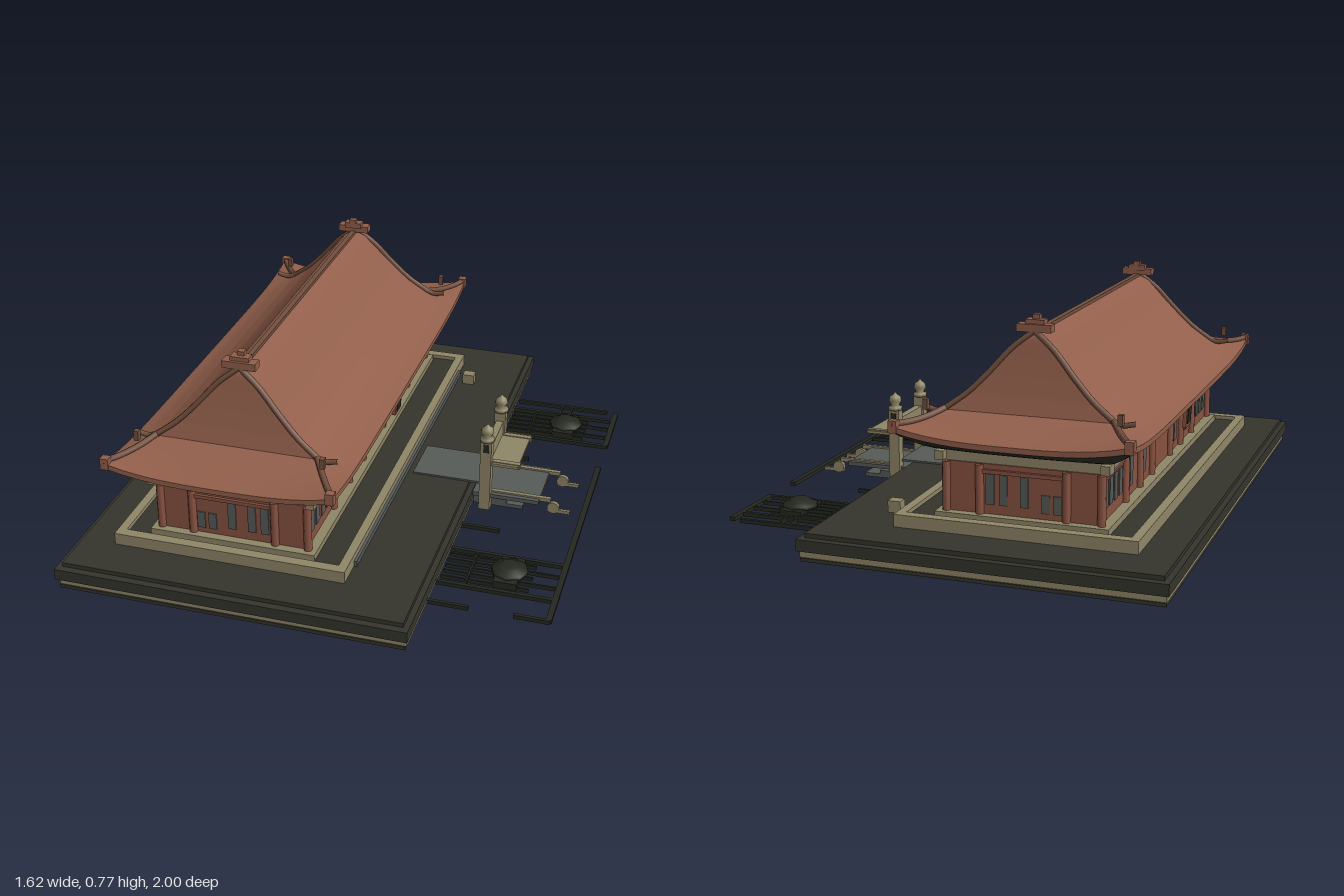
import * as THREE from 'three';

const mat = (name, color, side = THREE.FrontSide) => {
  const m = new THREE.MeshStandardMaterial({ color, side });
  m.name = name;
  return m;
};

// half sizes of the roof at gable foot and at the eaves; CX is the hall's centre line
const CX = -0.27, GX = 0.28, GZ = 0.69, EX = 0.39, EZ = 0.88;
const PROFILE = [[0, 0.715], [0.04, 0.695], [0.09, 0.635], [0.15, 0.57], [0.21, 0.51], [0.28, 0.458], [0.34, 0.425], [0.39, 0.405]];
const roofY = d => {
  let i = 0;
  while (i < PROFILE.length - 2 && d > PROFILE[i + 1][0]) i++;
  const [a, b] = [PROFILE[i], PROFILE[i + 1]];
  return a[1] + (b[1] - a[1]) * (d - a[0]) / (b[0] - a[0]);
};
const gableZ = d => 0.63 + 0.06 * (d / GX);

// curved sheet from a rule f(u, v) with u in -1..1 and v in 0..1
function sheet(f, nu = 28, nv = 8) {
  const pos = [], idx = [];
  for (let j = 0; j <= nv; j++) for (let i = 0; i <= nu; i++) pos.push(...f(i / nu * 2 - 1, j / nv));
  for (let j = 0; j < nv; j++) for (let i = 0; i < nu; i++) {
    const a = j * (nu + 1) + i, b = a + nu + 1;
    idx.push(a, b, a + 1, a + 1, b, b + 1);
  }
  const g = new THREE.BufferGeometry();
  g.setAttribute('position', new THREE.Float32BufferAttribute(pos, 3));
  g.setIndex(idx);
  g.computeVertexNormals();
  return g;
}

export function createModel() {
  const root = new THREE.Group();
  const roofRed = mat('roof red', 0x925f4b, THREE.DoubleSide);
  const wallRed = mat('wall red', 0x8a5342);
  const ridgeRed = mat('ridge brown', 0x74503f);
  const stone = mat('pale stone', 0x908768);
  const dark = mat('dark paving', 0x35352c, THREE.DoubleSide);
  const grey = mat('grey', 0x585c59);
  const black = mat('black iron', 0x25281f);

  const add = (name, geo, m, x = 0, y = 0, z = 0, parent = root) => {
    const o = new THREE.Mesh(geo, m);
    o.name = name;
    o.position.set(x, y, z);
    parent.add(o);
    return o;
  };
  // box given by its limits
  const box = (name, m, x0, x1, y0, y1, z0, z1) =>
    add(name, new THREE.BoxGeometry(x1 - x0, y1 - y0, z1 - z0), m, (x0 + x1) / 2, (y0 + y1) / 2, (z0 + z1) / 2);
  const tube = (name, pts, r, m) =>
    add(name, new THREE.TubeGeometry(new THREE.CatmullRomCurve3(pts.map(p => new THREE.Vector3(...p))), 16, r, 6), m);

  // terrace with a pale course under a bevelled dark slab
  box('terraceBase', dark, -0.8, 0.39, 0, 0.012, -0.99, 0.99);
  box('terraceCourse', stone, -0.8, 0.395, 0.012, 0.036, -0.985, 0.985);
  box('terraceSlab', dark, -0.81, 0.4, 0.036, 0.075, -1, 1);
  box('terraceTop', dark, -0.79, 0.38, 0.075, 0.09, -0.975, 0.975);

  // plinth with a raised stone rim
  box('plinth', dark, -0.65, 0.12, 0.09, 0.118, -0.8, 0.8);
  for (const s of [-1, 1]) {
    box('plinthEndRim', stone, -0.67, 0.14, 0.09, 0.132, s * 0.805 - 0.018, s * 0.805 + 0.018);
    const x = -0.265 + s * 0.39;
    box('plinthLongRim', stone, x - 0.015, x + 0.015, 0.09, 0.132, -0.79, 0.79);
  }
  box('plinthGutter', grey, 0.14, 0.15, 0.09, 0.11, -0.72, 0.72);
  box('wallFooting', stone, -0.56, 0.02, 0.118, 0.14, -0.77, 0.77);
  box('stoneBlock', stone, 0.175, 0.22, 0.09, 0.13, -0.69, -0.65);

  // hall walls and bracket course
  box('hallWalls', wallRed, -0.525, -0.015, 0.138, 0.305, -0.74, 0.74);
  box('bracketCourse', stone, -0.54, 0, 0.3, 0.345, -0.735, 0.735);
  const column = new THREE.CylinderGeometry(0.014, 0.014, 0.165, 10);
  const zCols = [0.74, 0.47, 0.29, 0.13];
  for (const s of [-1, 1]) for (const t of [-1, 1]) {
    const face = CX + s * 0.255;
    for (const z of zCols) {
      add('column', column, wallRed, face + s * 0.004, 0.22, t * z);
      add('bracket', new THREE.BoxGeometry(0.03, 0.03, 0.05), stone, face + s * 0.02, 0.325, t * z);
    }
    // window panes of the long walls
    for (const z of [0.685, 0.63, 0.575, 0.52])
      add('windowPane', new THREE.BoxGeometry(0.008, 0.09, 0.036), grey, face, 0.225, t * z);
    for (const z of [0.39, 0.22])
      add('doorPane', new THREE.BoxGeometry(0.008, 0.1, 0.036), grey, face, 0.222, t * z);
    add('wallBeam', new THREE.BoxGeometry(0.012, 0.02, 0.74), wallRed, face, 0.292, t * 0.37);
  }
  for (const s of [-1, 1]) {
    // end walls with a framed lattice
    for (const x of [-0.415, -0.125]) add('endColumn', column, wallRed, x, 0.22, s * 0.742);
    box('endFrame', wallRed, -0.41, -0.13, 0.275, 0.288, s * 0.744 - 0.006, s * 0.744 + 0.006);
    for (const x of [-0.385, -0.345, -0.275, -0.205, -0.16])
      add('endPane', new THREE.BoxGeometry(0.028, x < -0.3 ? 0.06 : 0.1, 0.008), grey, x, x < -0.3 ? 0.19 : 0.222, s * 0.74);
    // name boards hung under the eaves, left blank
    const board = new THREE.Group();
    board.name = 'hangingBoard';
    board.position.set(CX + s * 0.352, 0.335, 0);
    board.rotation.z = -s * 0.06;
    root.add(board);
    add('boardFrame', new THREE.BoxGeometry(0.014, 0.095, 0.07), wallRed, 0, 0, 0, board);
    add('boardPanel', new THREE.BoxGeometry(0.006, 0.07, 0.045), black, s * 0.006, 0, 0, board);
  }

  // hip-and-gable roof
  const skirt = (end, s, u, t) => {
    const hx = GX + (EX - GX) * t, hz = GZ + (EZ - GZ) * t;
    const y = roofY(hx) + 0.035 * t * t * Math.abs(u) ** (end ? 3 : 6);
    return end ? [CX + u * hx, y, s * hz] : [CX + s * hx, y, u * hz];
  };
  for (const s of [-1, 1]) {
    add('upperSlope', sheet((u, v) => [CX + s * v * GX, roofY(v * GX), u * gableZ(v * GX)], 6, 20), roofRed);
    add('gable', sheet((u, v) => [CX + u * v * GX, roofY(v * GX), s * gableZ(v * GX)], 8, 20), roofRed);
    for (const end of [false, true]) {
      add('lowerSlope', sheet((u, v) => skirt(end, s, u, v)), roofRed);
      add('eaveEdge', sheet((u, v) => {
        const p = skirt(end, s, u, 1);
        return [p[0], p[1] - 0.018 * v, p[2]];
      }, 28, 1), roofRed);
      add('soffit', sheet((u, v) => {
        const p = skirt(end, s, u, 1);
        const w = end ? [CX + u * 0.262, 0.34, s * 0.735] : [CX + s * 0.262, 0.34, u * 0.735];
        const k = 1 - (1 - v) ** 1.5;
        return [p[0] + (w[0] - p[0]) * v, p[1] - 0.018 + (w[1] - p[1] + 0.018) * k, p[2] + (w[2] - p[2]) * v];
      }, 28, 5), dark);
    }
    // ridges along gables and hips, with upturned stubs
    for (const t of [-1, 1]) {
      tube('gableRidge', [0, 0.07, 0.14, 0.21, GX].map(d => [CX + t * d, roofY(d) + 0.006, s * gableZ(d)]), 0.01, ridgeRed);
      tube('gableRidgeStub', [[CX + t * 0.27, 0.467, s * 0.69], [CX + t * 0.31, 0.455, s * 0.69], [CX + t * 0.35, 0.462, s * 0.69]], 0.009, ridgeRed);
      tube('hipRidge', [0, 0.35, 0.7, 1].map(v => {
        const p = skirt(false, t, s, v);
        return [p[0], p[1] + 0.006, p[2]];
      }), 0.011, ridgeRed);
      add('hipFinial', new THREE.BoxGeometry(0.016, 0.035, 0.02), ridgeRed, CX + t * 0.32, 0.488, s * 0.755);
      add('eaveFinial', new THREE.BoxGeometry(0.028, 0.04, 0.028), roofRed, CX + t * 0.382, 0.437, s * 0.87);
    }
    // stepped ornament on each ridge end
    box('ridgeOrnament', roofRed, CX - 0.058, CX + 0.058, 0.717, 0.742, s * 0.62 - 0.02, s * 0.62 + 0.02);
    box('ridgeOrnamentStep', roofRed, CX - 0.032, CX + 0.032, 0.735, 0.756, s * 0.612 - 0.018, s * 0.612 + 0.018);
    box('ridgeOrnamentTip', roofRed, CX - 0.012, CX + 0.012, 0.75, 0.77, s * 0.603 - 0.012, s * 0.603 + 0.012);
  }
  box('mainRidge', ridgeRed, CX - 0.009, CX + 0.009, 0.7, 0.722, -0.63, 0.63);

  // paved path and stair landing
  box('path', grey, 0.17, 0.43, 0.088, 0.096, -0.11, 0.09);
  box('stairLanding', grey, 0.4, 0.64, 0.055, 0.07, -0.12, 0.12);
  for (let i = 0; i < 3; i++) box('stairStep', grey, 0.4, 0.46 + i * 0.06, 0.042 - i * 0.014, 0.056 - i * 0.014, -0.1, 0.1);

  // gate: two posts with turned finials, a lintel and a shelf
  const finial = new THREE.LatheGeometry([[0, 0], [0.026, 0], [0.026, 0.012], [0.014, 0.018], [0.024, 0.035], [0.02, 0.05], [0.008, 0.058], [0, 0.068]]
    .map(p => new THREE.Vector2(...p)), 12);
  for (const s of [-1, 1]) {
    box('gatePost', stone, 0.425, 0.465, 0.01, 0.29, s * 0.115 - 0.018, s * 0.115 + 0.018);
    add('gateFinial', finial, stone, 0.445, 0.285, s * 0.115);
    box('gatePanel', black, 0.436, 0.456, 0.245, 0.275, s * 0.131 - 0.004, s * 0.131 + 0.004);
    box('stairRail', stone, 0.44, 0.68, 0.062, 0.076, s * 0.095 - 0.008, s * 0.095 + 0.008);
    box('railFoot', stone, 0.67, 0.75, 0.022, 0.034, s * 0.095 - 0.006, s * 0.095 + 0.006);
    add('railDrum', new THREE.CylinderGeometry(0.022, 0.022, 0.016, 12), stone, 0.69, 0.04, s * 0.095).rotation.x = Math.PI / 2;
    box('shelfArm', stone, 0.46, 0.565, 0.182, 0.2, s * 0.1 - 0.01, s * 0.1 + 0.01);
  }
  box('gateLintel', stone, 0.432, 0.458, 0.182, 0.25, -0.1, 0.1);
  box('gateShelf', stone, 0.45, 0.56, 0.187, 0.197, -0.12, 0.12);

  // iron racks lying on the ground, each with a censer
  const bar = (x0, x1, z0, z1) => box('rackBar', black, x0, x1, 0.003, 0.017, z0, z1);
  const censer = new THREE.LatheGeometry([[0, 0], [0.036, 0], [0.04, 0.012], [0.063, 0.022], [0.063, 0.034], [0.04, 0.042], [0.03, 0.052], [0, 0.052]]
    .map(p => new THREE.Vector2(...p)), 8);
  for (const [z0, z1] of [[-0.645, -0.44], [0.41, 0.615]]) {
    for (const z of [z0, z1]) bar(0.39, 0.8, z - 0.007, z + 0.007);
    for (let i = 1; i < 6; i++) {
      const z = z0 + (z1 - z0) * i / 6;
      bar(0.4, i % 2 ? 0.7 : 0.8, z - 0.003, z + 0.003);
    }
    for (const x of [0.49, 0.58]) bar(x - 0.003, x + 0.003, z0, z1);
    const zc = z0 < 0 ? -0.545 : 0.51;
    add('censer', censer, black, 0.62, 0.004, zc);
    box('censerBand', black, 0.58, 0.66, 0.004, 0.03, zc - 0.078, zc + 0.078);
  }
  bar(0.4, 0.76, -0.72, -0.708);
  for (const x of [0.58, 0.62]) bar(x - 0.004, x + 0.004, -0.71, -0.645);
  bar(0.785, 0.805, -0.71, -0.44);
  bar(0.785, 0.805, -0.27, 0.73);
  for (const z of [-0.265, 0.255, 0.73]) bar(0.39, 0.53, z - 0.006, z + 0.006);
  bar(0.68, 0.8, 0.724, 0.736);
  return root;
}
